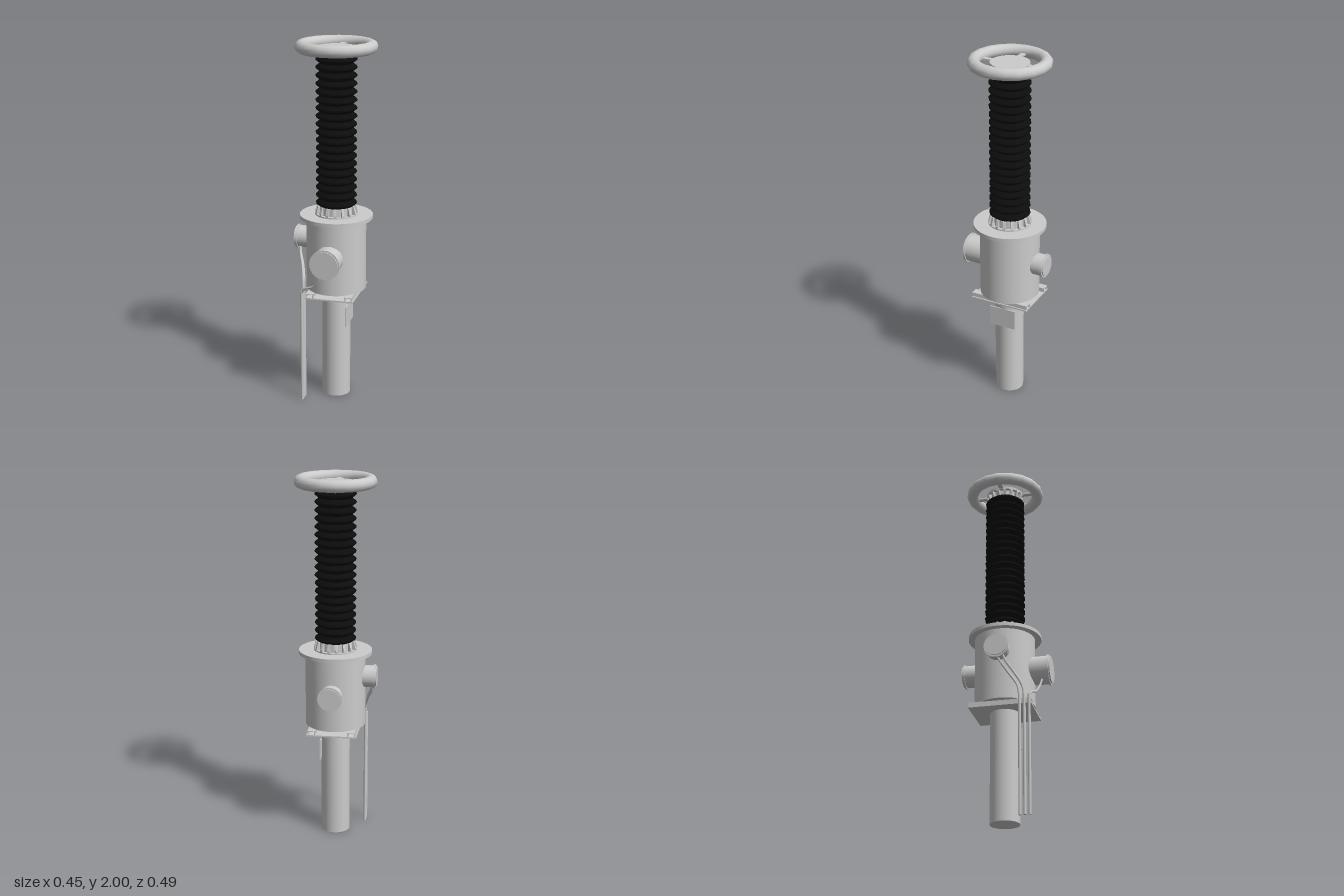
import * as THREE from 'three';
import { toCreasedNormals } from 'three/addons/utils/BufferGeometryUtils.js';

const grey = new THREE.MeshStandardMaterial({ color: 0xcccccc });
const black = new THREE.MeshStandardMaterial({ color: 0x0c0c0c });

function add(parent, name, geometry, material = grey) {
  const mesh = new THREE.Mesh(geometry, material);
  mesh.name = name;
  parent.add(mesh);
  return mesh;
}

function group(parent, name) {
  const g = new THREE.Group();
  g.name = name;
  parent.add(g);
  return g;
}

// Upright cylinder between two heights
function drum(parent, name, radius, y0, y1, sides = 32) {
  const mesh = add(parent, name, new THREE.CylinderGeometry(radius, radius, y1 - y0, sides));
  mesh.position.y = (y0 + y1) / 2;
  return mesh;
}

function box(parent, name, w, h, d, x, y, z) {
  const mesh = add(parent, name, new THREE.BoxGeometry(w, h, d));
  mesh.position.set(x, y, z);
  return mesh;
}

// Clamping collar: a core with tapered gussets, wide end at y = 0
function collar(parent, name, radius, height) {
  const g = group(parent, name);
  drum(g, 'collarCore', radius - 0.018, 0, height);
  drum(g, 'collarRim', radius, 0, 0.008);
  const shape = new THREE.Shape();
  shape.moveTo(radius - 0.03, 0);
  shape.lineTo(radius, 0);
  shape.lineTo(radius, height * 0.35);
  shape.lineTo(radius - 0.01, height);
  shape.lineTo(radius - 0.03, height);
  const fin = new THREE.ExtrudeGeometry(shape, { depth: 0.014, bevelEnabled: false });
  fin.translate(0, 0, -0.007);
  for (let i = 0; i < 16; i++) {
    add(g, 'collarFin', fin).rotation.y = ((i + 0.5) / 16) * Math.PI * 2;
  }
  return g;
}

// Side port lying along +z before it is turned; reach is measured from the axis
function port(parent, name, radius, reach, y, turn) {
  const g = group(parent, name);
  const stem = group(g, 'portStem');
  drum(stem, 'portNeck', radius - 0.006, 0.1, reach - 0.015, 28);
  drum(stem, 'portFlange', radius, reach - 0.017, reach - 0.007, 28);
  drum(stem, 'portCover', radius - 0.009, reach - 0.007, reach, 28);
  stem.rotation.x = Math.PI / 2;
  g.position.y = y;
  g.rotation.y = turn;
}

export function createModel() {
  const model = new THREE.Group();
  model.name = 'cableTermination';
  const body = group(model, 'body');
  body.position.set(0.003, 0, -0.016);

  // Support column with its side plate
  drum(body, 'column', 0.079, 0, 0.606);
  box(body, 'sidePlate', 0.006, 0.115, 0.155, 0.076, 0.488, 0.008);

  // Base plate and the channel rails carrying the tank
  box(body, 'basePlate', 0.272, 0.008, 0.338, 0, 0.609, 0);
  for (const side of [-1, 1]) {
    const rail = group(body, 'rail');
    for (const x of [0.09, 0.127]) box(rail, 'railWeb', 0.005, 0.022, 0.338, side * x, 0.624, 0);
    box(rail, 'railTop', 0.042, 0.004, 0.338, side * 0.1085, 0.634, 0);
  }

  // Tank and lid flange
  drum(body, 'tank', 0.164, 0.635, 1.036, 40);
  drum(body, 'tankFlange', 0.199, 1.036, 1.056, 40);
  port(body, 'frontPort', 0.083, 0.257, 0.84, 0);
  port(body, 'backPort', 0.066, 0.228, 0.84, Math.PI);
  port(body, 'rightPort', 0.066, 0.228, 0.91, -Math.PI / 2);

  // Ribbed insulator
  const y0 = 1.1, y1 = 1.925, ribs = 19, pitch = (y1 - y0) / ribs;
  const profile = [new THREE.Vector2(0, y0)];
  for (let i = 0; i < ribs; i++) {
    const y = y0 + i * pitch;
    profile.push(new THREE.Vector2(0.088, y));
    profile.push(new THREE.Vector2(0.111, y + pitch * 0.42));
    profile.push(new THREE.Vector2(0.111, y + pitch * 0.58));
  }
  profile.push(new THREE.Vector2(0.088, y1), new THREE.Vector2(0, y1));
  add(body, 'insulator', toCreasedNormals(new THREE.LatheGeometry(profile, 18), 0.5), black);

  // Collars at both ends of the insulator
  collar(body, 'lowerCollar', 0.116, 0.052).position.y = 1.055;
  const upper = collar(body, 'upperCollar', 0.104, 0.045);
  upper.rotation.x = Math.PI;
  upper.position.y = 1.962;
  drum(body, 'topDisc', 0.104, 1.956, 1.968, 32);

  // Shielding ring on four spokes
  const ring = add(body, 'shieldRing', new THREE.TorusGeometry(0.1875, 0.0325, 14, 18));
  ring.rotation.x = Math.PI / 2;
  ring.position.y = 1.9675;
  for (let i = 0; i < 4; i++) {
    const spoke = group(body, 'spoke');
    box(spoke, 'spokeBar', 0.085, 0.01, 0.026, 0.137, 1.962, 0);
    spoke.rotation.y = (i * Math.PI) / 2;
  }

  // Straight conduits on the right side, each with a bent lead up to a port
  const leads = [
    { z: 0.147, path: [[-0.13, 0.665, 0.155], [-0.075, 0.69, 0.17], [-0.045, 0.735, 0.185], [-0.03, 0.78, 0.195]] },
    { z: 0.121, path: [[-0.152, 0.7, 0.11], [-0.168, 0.77, 0.07], [-0.19, 0.83, 0.03], [-0.195, 0.87, 0.015]] },
    { z: 0.096, path: [[-0.152, 0.7, 0.085], [-0.172, 0.77, 0.04], [-0.197, 0.83, 0.0], [-0.2, 0.87, -0.015]] },
  ];
  for (const { z, path } of leads) {
    const conduit = drum(model, 'conduit', 0.008, 0, 0.645, 10);
    conduit.position.x = -0.15;
    conduit.position.z = z;
    const points = [[-0.15, 0.635, z], ...path].map((p) => new THREE.Vector3(...p));
    add(model, 'lead', new THREE.TubeGeometry(new THREE.CatmullRomCurve3(points), 24, 0.006, 8));
  }
  return model;
}
